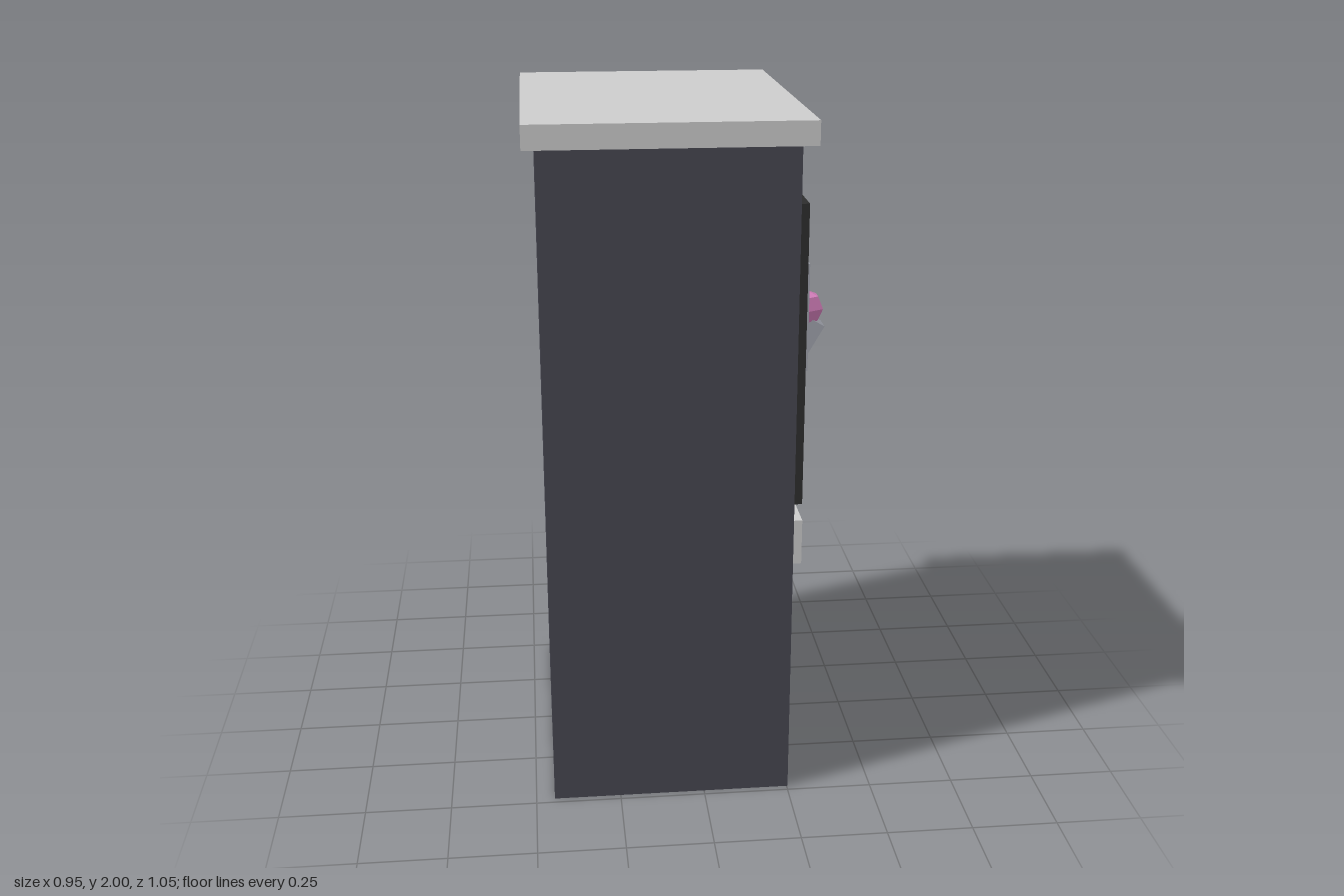
import * as THREE from 'three';

const material = (name, color, flatShading = false) => {
  const m = new THREE.MeshStandardMaterial({ color });
  m.name = name;
  m.flatShading = flatShading;
  return m;
};

export function createModel() {
  const group = new THREE.Group();
  const dark = material('dark cabinet', 0x474751);
  const black = material('black panel', 0x2e2e2e);
  const light = material('light trim', 0xcdcdcd);
  const metal = material('grey metal', 0xa2a5ae);
  const pink = material('pink knob', 0xd982c0, true);

  // Box given by its limits on each axis
  const box = (name, mat, [x0, x1], [y0, y1], [z0, z1]) => {
    const mesh = new THREE.Mesh(new THREE.BoxGeometry(x1 - x0, y1 - y0, z1 - z0), mat);
    mesh.position.set((x0 + x1) / 2, (y0 + y1) / 2, (z0 + z1) / 2);
    mesh.name = name;
    group.add(mesh);
    return mesh;
  };

  // Cabinet and overhanging lid
  box('cabinet', dark, [-0.446, 0.253], [0, 1.934], [-0.481, 0.481]);
  box('lid', light, [-0.48, 0.29], [1.934, 2], [-0.525, 0.525]);

  // Display panel with three reels, and the tray below
  box('displayPanel', black, [0.25, 0.29], [0.882, 1.757], [-0.396, 0.396]);
  for (const z of [-0.228, 0, 0.228]) {
    box('reel', metal, [0.263, 0.316], [1.247, 1.561], [z - 0.052, z + 0.052]);
  }
  box('tray', light, [0.263, 0.316], [0.633, 0.773], [-0.263, 0.263]);

  // Pull lever leaning outward
  const lever = box('lever', metal, [0.289, 0.389], [0.912, 1.262], [-0.351, -0.281]);
  lever.rotation.z = -Math.PI / 6;

  // Faceted knob
  const knob = new THREE.Mesh(new THREE.SphereGeometry(0.06, 6, 4), pink);
  knob.rotation.y = Math.PI / 6;
  knob.scale.y = 0.95;
  knob.position.set(0.412, 1.27, -0.316);
  knob.name = 'knob';
  group.add(knob);

  return group;
}
